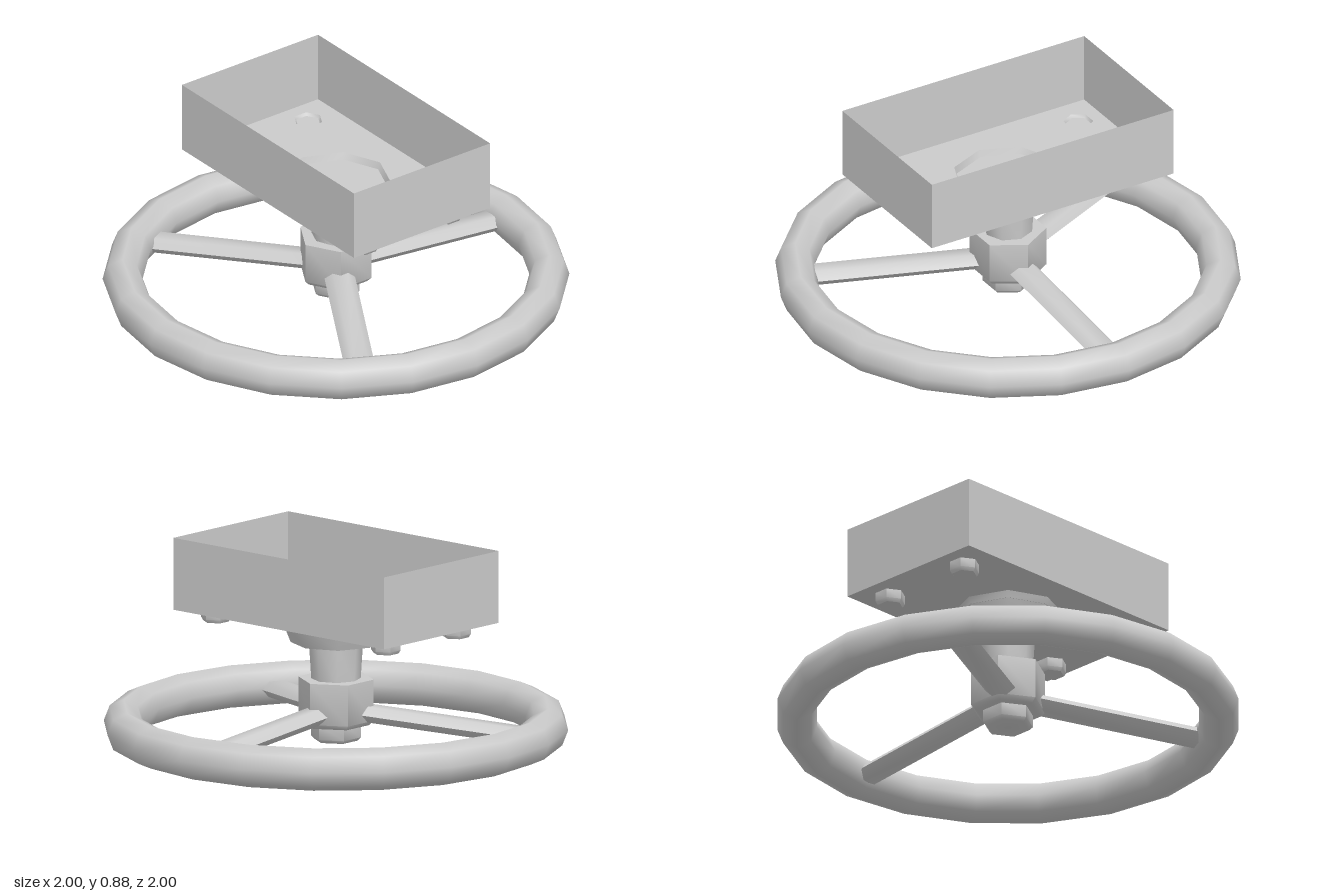
import * as THREE from 'three';
import { toCreasedNormals } from 'three/addons/utils/BufferGeometryUtils.js';

const grey = new THREE.MeshStandardMaterial({ color: 0xcccccc });
const thin = new THREE.MeshStandardMaterial({ color: 0xcccccc, side: THREE.DoubleSide });

function add(parent, name, geometry, material = grey) {
  const mesh = new THREE.Mesh(geometry, material);
  mesh.name = name;
  parent.add(mesh);
  return mesh;
}

// Faceted turned part from [radius, y] pairs, bottom to top
function turned(profile, sides, crease = 0.9) {
  const points = profile.map(([r, y]) => new THREE.Vector2(r, y));
  return toCreasedNormals(new THREE.LatheGeometry(points, sides), crease);
}

// Closed polygon outline used for holes in the tray floor
function polygon(radius, sides, cx, cz, turn) {
  const path = new THREE.Path();
  for (let i = 0; i <= sides; i++) {
    const a = turn + (i / sides) * Math.PI * 2;
    const x = cx + radius * Math.cos(a), y = cz + radius * Math.sin(a);
    if (i) path.lineTo(x, y); else path.moveTo(x, y);
  }
  return path;
}

export function createModel() {
  const model = new THREE.Group();
  model.name = 'handwheelWithTray';

  // Rim: coarse torus, slightly taller than wide
  const rim = new THREE.TorusGeometry(0.914, 0.086, 8, 20);
  rim.scale(1, 1, 1.08).rotateX(Math.PI / 2);
  add(model, 'rim', rim).position.y = 0.093;

  // Three flattened spokes sloping from hub down to rim
  for (let i = 0; i < 3; i++) {
    const arm = new THREE.Group();
    arm.name = 'spokeArm';
    arm.rotation.y = (i * Math.PI * 2) / 3;
    const spoke = new THREE.CylinderGeometry(0.066, 0.066, 0.8, 6);
    // flat faces up and down, long axis along x
    spoke.scale(0.6, 1, 1).rotateZ(-Math.PI / 2);
    const mesh = add(arm, 'spoke', toCreasedNormals(spoke, 0.9));
    mesh.position.set(0.47, 0.12, 0);
    mesh.rotation.z = -0.1;
    model.add(arm);
  }

  // Hub and the nut below it
  const hub = turned([[0, 0.1], [0.145, 0.1], [0.165, 0.12], [0.165, 0.3], [0, 0.3]], 6);
  add(model, 'hub', hub).rotation.y = Math.PI / 6;
  const nut = turned([[0, 0.03], [0.095, 0.03], [0.11, 0.045], [0.11, 0.11], [0, 0.11]], 6);
  add(model, 'hubNut', nut).rotation.y = Math.PI / 6;

  // Stem and flared flange, recessed in the tray floor
  add(model, 'stem', turned([[0.105, 0.28], [0.117, 0.47]], 8));
  add(model, 'flange', turned(
    [[0, 0.46], [0.195, 0.46], [0.238, 0.57], [0.228, 0.54], [0, 0.54]], 8), thin);

  // Open tray: floor with holes plus four thin walls
  const hx = 0.367, hz = 0.607, floorY = 0.57, topY = 0.885;
  const bolts = [-1, 1].flatMap(sx => [-1, 1].map(sz => [sx * 0.224, sz * 0.49]));
  const outline = new THREE.Shape();
  outline.moveTo(-hx, -hz).lineTo(hx, -hz).lineTo(hx, hz).lineTo(-hx, hz).closePath();
  outline.holes.push(polygon(0.237, 8, 0, 0, 0));
  bolts.forEach(([x, z]) => outline.holes.push(polygon(0.064, 6, x, z, 0)));
  const floor = new THREE.ShapeGeometry(outline).rotateX(-Math.PI / 2);
  add(model, 'trayFloor', floor, thin).position.y = floorY;
  for (const s of [-1, 1]) {
    const height = topY - floorY, y = (topY + floorY) / 2;
    add(model, 'trayEnd', new THREE.PlaneGeometry(2 * hx, height), thin).position.set(0, y, s * hz);
    const side = add(model, 'traySide', new THREE.PlaneGeometry(2 * hz, height), thin);
    side.position.set(s * hx, y, 0);
    side.rotation.y = Math.PI / 2;
  }

  // Hex bolts through the floor corners
  const bolt = turned([[0, 0.515], [0.055, 0.515], [0.065, 0.53], [0.065, 0.57],
    [0.055, 0.557], [0, 0.557]], 6).rotateY(Math.PI / 6);
  for (const [x, z] of bolts) add(model, 'bolt', bolt, thin).position.set(x, 0, z);

  return model;
}
